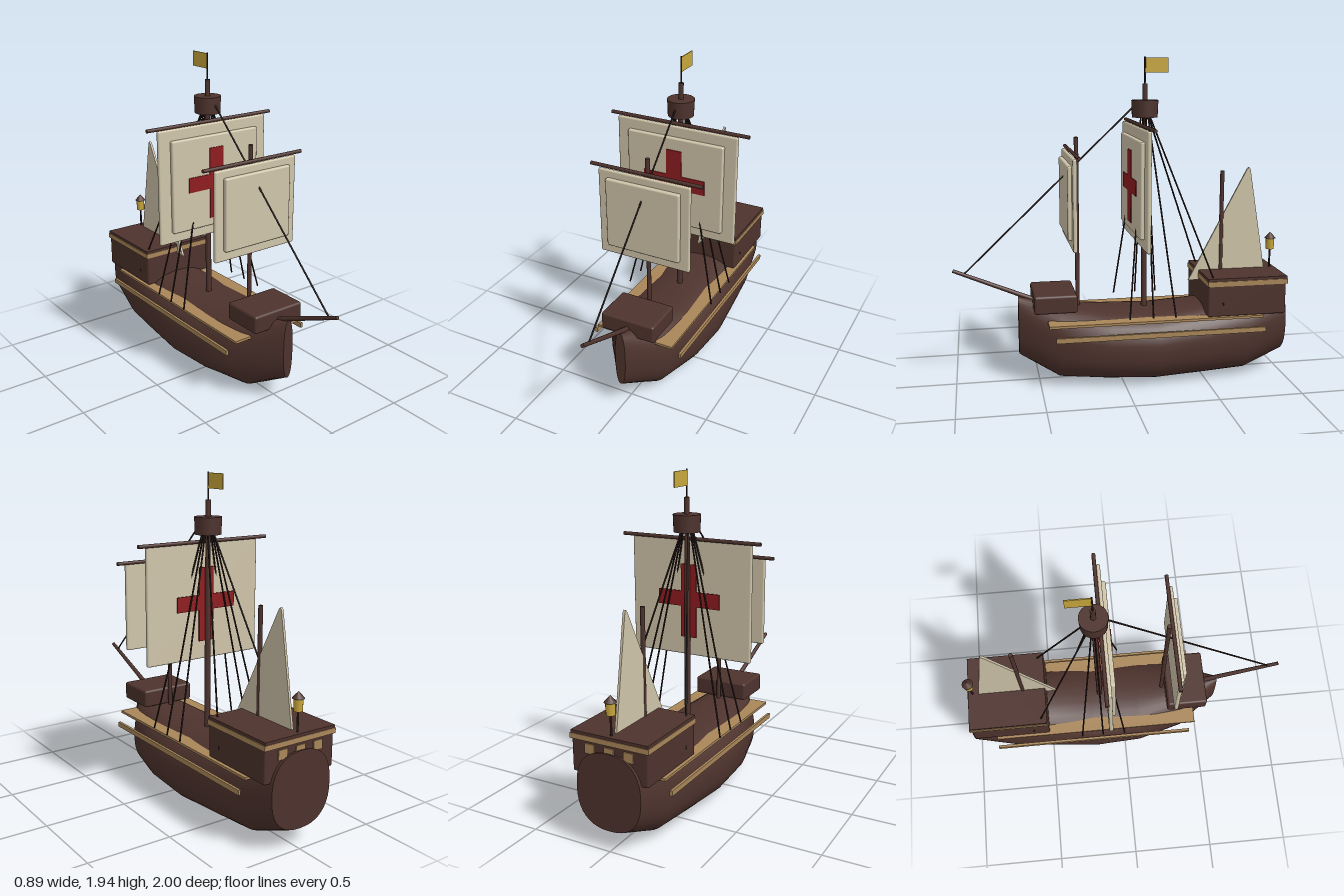
import * as THREE from 'three';
import { RoundedBoxGeometry } from 'three/addons/geometries/RoundedBoxGeometry.js';

const mat = (name, color, side = THREE.FrontSide) => {
  const m = new THREE.MeshStandardMaterial({ color, side });
  m.name = name;
  return m;
};

export function createModel() {
  const wood = mat('dark wood', 0x4e332d);
  const trim = mat('tan trim', 0xa98659);
  const canvas = mat('sail canvas', 0xd0c5aa, THREE.DoubleSide);
  const red = mat('red cloth', 0x8e1c20);
  const gold = mat('gold', 0xc9a73c, THREE.DoubleSide);
  const rope = mat('rope', 0x2a1c18);

  const ship = new THREE.Group();
  ship.name = 'sailingShip';

  const add = (name, geo, material, x = 0, y = 0, z = 0) => {
    const mesh = new THREE.Mesh(geo, material);
    mesh.name = name;
    mesh.position.set(x, y, z);
    ship.add(mesh);
    return mesh;
  };
  // Box given by its limits, with optionally rounded edges
  const box = (name, material, [x0, x1], [y0, y1], [z0, z1], r = 0) => {
    const size = [x1 - x0, y1 - y0, z1 - z0];
    const geo = r ? new RoundedBoxGeometry(...size, 3, r) : new THREE.BoxGeometry(...size);
    return add(name, geo, material, (x0 + x1) / 2, (y0 + y1) / 2, (z0 + z1) / 2);
  };
  // Round bar between two points
  const bar = (name, material, a, b, r, r2 = r, sides = 12) => {
    const p = new THREE.Vector3(...a), q = new THREE.Vector3(...b);
    const d = q.clone().sub(p);
    const mesh = add(name, new THREE.CylinderGeometry(r2, r, d.length(), sides), material);
    mesh.position.copy(p).add(q).multiplyScalar(0.5);
    mesh.quaternion.setFromUnitVectors(new THREE.Vector3(0, 1, 0), d.normalize());
    return mesh;
  };

  // Hull: rounded cross-sections from stern to bow, [z, half width, bottom, top]
  const stations = [
    [-1.0, 0.2, 0.13, 0.57], [-0.76, 0.235, 0.03, 0.51], [-0.5, 0.26, 0.02, 0.47],
    [-0.2, 0.288, 0.01, 0.445], [0.1, 0.275, 0.025, 0.455], [0.38, 0.2, 0.04, 0.485],
    [0.62, 0.033, 0.18, 0.545],
  ];
  const N = 40;
  const ring = ([z, w, lo, hi]) => Array.from({ length: N }, (_, j) => {
    const t = (j / N) * Math.PI * 2;
    const soft = (v) => Math.sign(v) * Math.abs(v) ** (2 / 2.4);
    return [w * soft(Math.cos(t)), (lo + hi) / 2 + ((hi - lo) / 2) * soft(Math.sin(t)), z];
  });
  const pos = [], index = [];
  stations.forEach((s, i) => {
    pos.push(...ring(s).flat());
    if (i === stations.length - 1) return;
    for (let j = 0; j < N; j++) {
      const a = i * N + j, b = i * N + ((j + 1) % N);
      index.push(a, b, a + N, b, b + N, a + N);
    }
  });
  // Flat transom and stem
  [[stations[0], false], [stations[stations.length - 1], true]].forEach(([s, front]) => {
    const c = pos.length / 3;
    pos.push(0, (s[2] + s[3]) / 2, s[0], ...ring(s).flat());
    for (let j = 0; j < N; j++) {
      const a = c + 1 + j, b = c + 1 + ((j + 1) % N);
      index.push(c, front ? a : b, front ? b : a);
    }
  });
  const hull = new THREE.BufferGeometry();
  hull.setAttribute('position', new THREE.Float32BufferAttribute(pos, 3));
  hull.setIndex(index);
  hull.computeVertexNormals();
  add('hull', hull, wood);

  // Side planks
  for (const s of [-1, 1]) {
    const span = (a, b) => (s > 0 ? [a, b] : [-b, -a]);
    box('gunwale', trim, span(0.14, 0.25), [0.405, 0.42], [-0.84, 0.455]);
    box('rubbingStrake', trim, span(0.276, 0.292), [0.33, 0.36], [-0.84, 0.42]);
  }

  // Forecastle and stern castle
  box('forecastle', wood, [-0.173, 0.173], [0.47, 0.58], [0.28, 0.535], 0.015);
  box('sternCastle', wood, [-0.235, 0.235], [0.42, 0.64], [-0.98, -0.495], 0.01);
  box('sternRail', trim, [-0.243, 0.243], [0.608, 0.638], [-0.987, -0.492]);
  box('sternDeck', wood, [-0.238, 0.238], [0.636, 0.655], [-0.984, -0.495]);
  for (const x of [-0.12, 0, 0.12])
    box('sternWindow', trim, [x - 0.03, x + 0.03], [0.54, 0.595], [-0.987, -0.979]);

  // Masts and bowsprit
  bar('mainMast', wood, [0, 0.4, -0.15], [0, 1.795, -0.15], 0.018, 0.015);
  bar('foreMast', wood, [0, 0.42, 0.26], [0, 1.49, 0.26], 0.013);
  bar('mizzenMast', wood, [0, 0.6, -0.635], [0, 1.27, -0.635], 0.013);
  bar('bowsprit', wood, [0, 0.515, 0.52], [0, 0.715, 0.997], 0.015, 0.011);
  add('crowsNest', new THREE.CylinderGeometry(0.08, 0.076, 0.1, 24), wood, 0, 1.65, -0.15);
  bar('flagPole', rope, [0, 1.78, -0.15], [0, 1.95, -0.15], 0.005);
  box('flag', gold, [-0.003, 0.003], [1.858, 1.945], [-0.29, -0.152]);

  // Square sails: a panel with a smaller raised panel in front, hung from a yard
  const squareSail = (name, z, [w, lo, hi], [w2, lo2, hi2], yardY, yardZ, yardW) => {
    box(name + 'Sail', canvas, [-w, w], [lo, hi], [z - 0.012, z + 0.013], 0.01);
    box(name + 'SailBelly', canvas, [-w2, w2], [lo2, hi2], [z + 0.005, z + 0.037], 0.01);
    bar(name + 'Yard', wood, [-yardW, yardY, yardZ], [yardW, yardY, yardZ], 0.011);
  };
  squareSail('fore', 0.303, [0.288, 0.86, 1.395], [0.232, 0.92, 1.35], 1.403, 0.287, 0.35);
  squareSail('main', -0.1, [0.387, 0.86, 1.55], [0.31, 0.925, 1.485], 1.556, -0.118, 0.445);

  // Cross on both faces of the main sail
  for (const z of [-0.061, -0.133]) {
    box('crossUpright', red, [-0.05, 0.05], [0.975, 1.41], [z - 0.003, z + 0.003]);
    for (const s of [-1, 1])
      box('crossArm', red, s > 0 ? [0.05, 0.2] : [-0.2, -0.05], [1.16, 1.25], [z - 0.003, z + 0.003]);
  }

  // Triangular mizzen sail, drawn in (z, y) and turned into the centre plane
  const tri = new THREE.Shape([[-0.43, 0.592], [-0.79, 1.275], [-0.803, 1.288], [-0.812, 1.275], [-0.925, 0.6]]
    .map(([z, y]) => new THREE.Vector2(-z, y)));
  const mizzen = add('mizzenSail', new THREE.ExtrudeGeometry(tri, { depth: 0.014, bevelEnabled: false }), canvas, 0.007);
  mizzen.rotation.y = Math.PI / 2;
  mizzen.position.x = -0.007;

  // Stern lantern
  bar('lanternPost', rope, [0, 0.65, -0.955], [0, 0.78, -0.955], 0.006);
  add('lantern', new THREE.CylinderGeometry(0.027, 0.025, 0.07, 12), gold, 0, 0.805, -0.955);
  add('lanternRoof', new THREE.ConeGeometry(0.035, 0.038, 12), wood, 0, 0.858, -0.955);

  // Rigging
  bar('foreStay', rope, [0, 1.66, -0.08], [0, 0.695, 0.93], 0.005, 0.005, 6);
  for (const s of [-1, 1]) {
    for (const z of [-0.01, -0.15, -0.285])
      bar('shroud', rope, [s * 0.03, 1.61, -0.15 + (z + 0.15) * 0.1], [s * 0.288, 0.45, z], 0.005, 0.005, 6);
    bar('backStay', rope, [s * 0.02, 1.61, -0.175], [s * 0.235, 0.49, -0.592], 0.005, 0.005, 6);
  }

  return ship;
}
